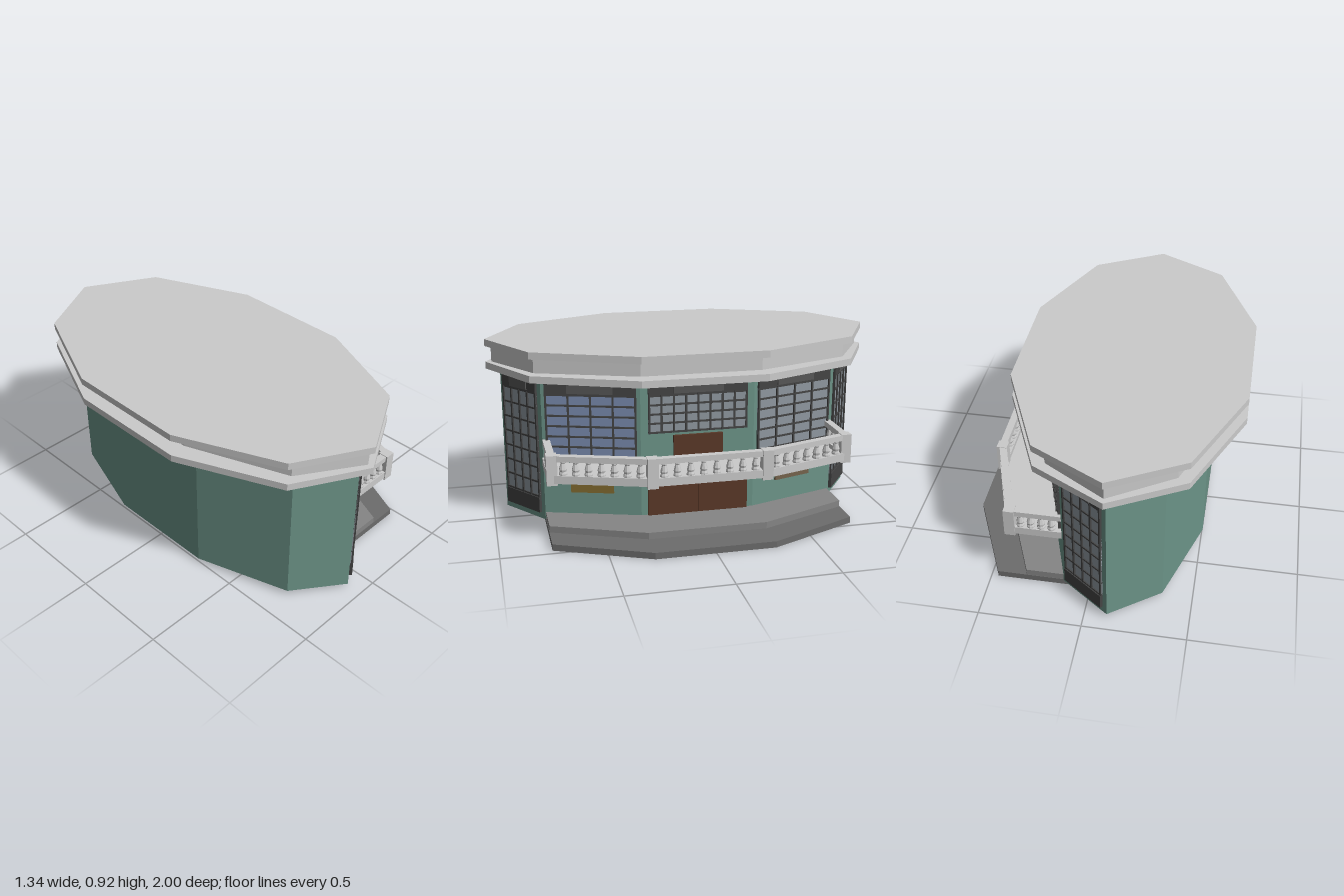
import * as THREE from 'three';

const mat = (color) => new THREE.MeshStandardMaterial({ color, flatShading: true });
const M = {
  stone: mat(0xcccccc), wall: mat(0x6c9488), frame: mat(0x454545), trim: mat(0x575757),
  pane: mat(0x8f98a0), bluePane: mat(0x7b8db0), door: mat(0x5a3828),
  sign: mat(0x826a30), paleSign: mat(0x75634c), step: mat(0x858585), lowStep: mat(0x6c6c6c),
};
const CX = -0.11; // centre of the ten-sided building

function add(parent, name, geo, material) {
  const mesh = new THREE.Mesh(geo, material);
  mesh.name = name;
  parent.add(mesh);
  return mesh;
}

// Ten-sided oval drum
function drum(parent, name, rx, rz, y0, y1, material) {
  const geo = new THREE.CylinderGeometry(1, 1, y1 - y0, 10).scale(rx, 1, rz);
  add(parent, name, geo, material).position.set(CX, (y0 + y1) / 2, 0);
}

// Flat slab from an outline symmetric in z
function slab(parent, name, pts, y0, y1, material) {
  const shape = new THREE.Shape(pts.map(([x, z]) => new THREE.Vector2(x, z)));
  const geo = new THREE.ExtrudeGeometry(shape, { depth: y1 - y0, bevelEnabled: false });
  add(parent, name, geo.rotateX(-Math.PI / 2), material).position.y = y0;
}

// Group standing on the wall between a and b, local +z pointing outward
function face(parent, name, a, b) {
  const g = new THREE.Group();
  g.name = name;
  const [dx, dz] = [b[0] - a[0], b[1] - a[1]];
  g.position.set((a[0] + b[0]) / 2, 0, (a[1] + b[1]) / 2);
  g.rotation.y = Math.atan2(-dz, dx);
  g.userData.width = Math.hypot(dx, dz);
  parent.add(g);
  return g;
}

// Box on a face: x centre, width, height range, depth range
function panel(g, name, x, w, y0, y1, z0, z1, material) {
  const geo = new THREE.BoxGeometry(w, y1 - y0, z1 - z0);
  add(g, name, geo, material).position.set(x, (y0 + y1) / 2, (z0 + z1) / 2);
}

// Glass with a grid of bars
function gridWindow(g, w, y0, y1, cols, rows, glass) {
  const t = 0.009;
  panel(g, 'glass', 0, w, y0, y1, -0.005, 0.005, glass);
  for (let i = 0; i <= cols; i++) {
    const x = -w / 2 + t / 2 + ((w - t) * i) / cols;
    panel(g, 'windowBar', x, t, y0, y1, 0, 0.013, M.frame);
  }
  for (let j = 0; j <= rows; j++) {
    const y = y0 + t / 2 + ((y1 - y0 - t) * j) / rows;
    panel(g, 'windowRail', 0, w, y - t / 2, y + t / 2, 0, 0.011, M.frame);
  }
}

// Dark header above a window, with a raised middle block
function header(g, w) {
  panel(g, 'windowHeader', 0, w, 0.685, 0.766, -0.005, 0.013, M.frame);
  panel(g, 'headerBlock', 0, w * 0.5, 0.69, 0.766, 0, 0.019, M.trim);
}

const balusterGeo = new THREE.LatheGeometry(
  [[0, 0], [0.02, 0], [0.02, 0.01], [0.016, 0.02], [0.019, 0.03], [0.011, 0.06], [0.014, 0.064], [0.014, 0.075], [0, 0.075]]
    .map(([r, y]) => new THREE.Vector2(r, y)), 8);

// Curb, handrail and balusters between two posts
function railing(parent, a, b, count) {
  const g = face(parent, 'railing', a, b);
  const w = g.userData.width;
  panel(g, 'curb', 0, w, 0.315, 0.355, -0.022, 0.022, M.stone);
  panel(g, 'handrail', 0, w, 0.422, 0.45, -0.018, 0.018, M.stone);
  for (let i = 0; i < count; i++) {
    add(g, 'baluster', balusterGeo, M.stone)
      .position.set(((i + 0.5) / count - 0.5) * (w - 0.05), 0.352, 0);
  }
}

export function createModel() {
  const root = new THREE.Group();
  root.name = 'pavilion';

  // Walls and layered roof
  drum(root, 'walls', 0.415, 0.93, 0.025, 0.768, M.wall);
  drum(root, 'roofLower', 0.594, 1, 0.765, 0.8, M.stone);
  drum(root, 'roofMiddle', 0.502, 0.97, 0.8, 0.88, M.stone);
  drum(root, 'roofUpper', 0.594, 1, 0.88, 0.915, M.stone);

  // Entrance steps
  const octagon = (c, x1, x2) => [
    [c + x1, 0.752], [c + x2, 0.295], [c + x2, -0.295], [c + x1, -0.752],
    [c - x1, -0.752], [c - x2, -0.295], [c - x2, 0.295], [c - x1, 0.752]].reverse();
  slab(root, 'lowerStep', octagon(0.135, 0.33, 0.535), 0, 0.032, M.lowStep);
  slab(root, 'upperStep',
    [[0.13, -0.75], [0.32, -0.75], [0.51, -0.295], [0.51, 0.295], [0.32, 0.75], [0.13, 0.75]],
    0.03, 0.065, M.step);

  // Wall corners on the +z half
  const tip = [CX, 0.93], shoulder = [0.134, 0.752], middle = [0.285, 0.287];
  const flip = ([x, z]) => [x, -z];

  // Windows and signs on both halves
  for (const s of [1, -1]) {
    const edge = (name, a, b) => s > 0 ? face(root, name, a, b) : face(root, name, flip(b), flip(a));

    const tall = edge('tallWindow', tip, shoulder);
    gridWindow(tall, 0.25, 0.14, 0.685, 4, 7, M.pane);
    header(tall, 0.25);
    panel(tall, 'windowBase', 0, 0.25, 0.06, 0.14, -0.005, 0.016, M.frame);

    const side = edge('sideWindow', shoulder, middle);
    gridWindow(side, 0.45, 0.36, 0.685, 4, 6, s > 0 ? M.bluePane : M.pane);
    header(side, 0.45);
    panel(side, 'sign', 0, 0.215, 0.18, 0.288, -0.005, 0.01, s > 0 ? M.sign : M.paleSign);
  }

  // Central bay with doors
  const bay = face(root, 'centralBay', middle, flip(middle));
  gridWindow(bay, 0.5, 0.49, 0.685, 8, 4, M.pane);
  header(bay, 0.5);
  panel(bay, 'balconyDoor', 0, 0.25, 0.33, 0.475, -0.005, 0.013, M.door);
  for (const s of [1, -1]) {
    panel(bay, 'entranceDoor', s * 0.128, 0.254, 0.065, 0.265, -0.005, 0.012, M.door);
  }

  // Balcony floor, railings and posts
  const balcony = new THREE.Group();
  balcony.name = 'balcony';
  root.add(balcony);
  const start = [0.135, 0.735], corner = [0.385, 0.735], front = [0.535, 0.28];
  slab(balcony, 'balconyFloor',
    [flip(start), flip(corner), flip(front), front, corner, start], 0.316, 0.332, M.stone);
  railing(balcony, start, corner, 4);
  railing(balcony, corner, front, 7);
  railing(balcony, front, flip(front), 8);
  railing(balcony, flip(front), flip(corner), 7);
  railing(balcony, flip(corner), flip(start), 4);
  for (const p of [corner, front, flip(front), flip(corner)]) {
    add(balcony, 'post', new THREE.BoxGeometry(0.052, 0.148, 0.052), M.stone)
      .position.set(p[0], 0.379, p[1]);
  }
  return root;
}
